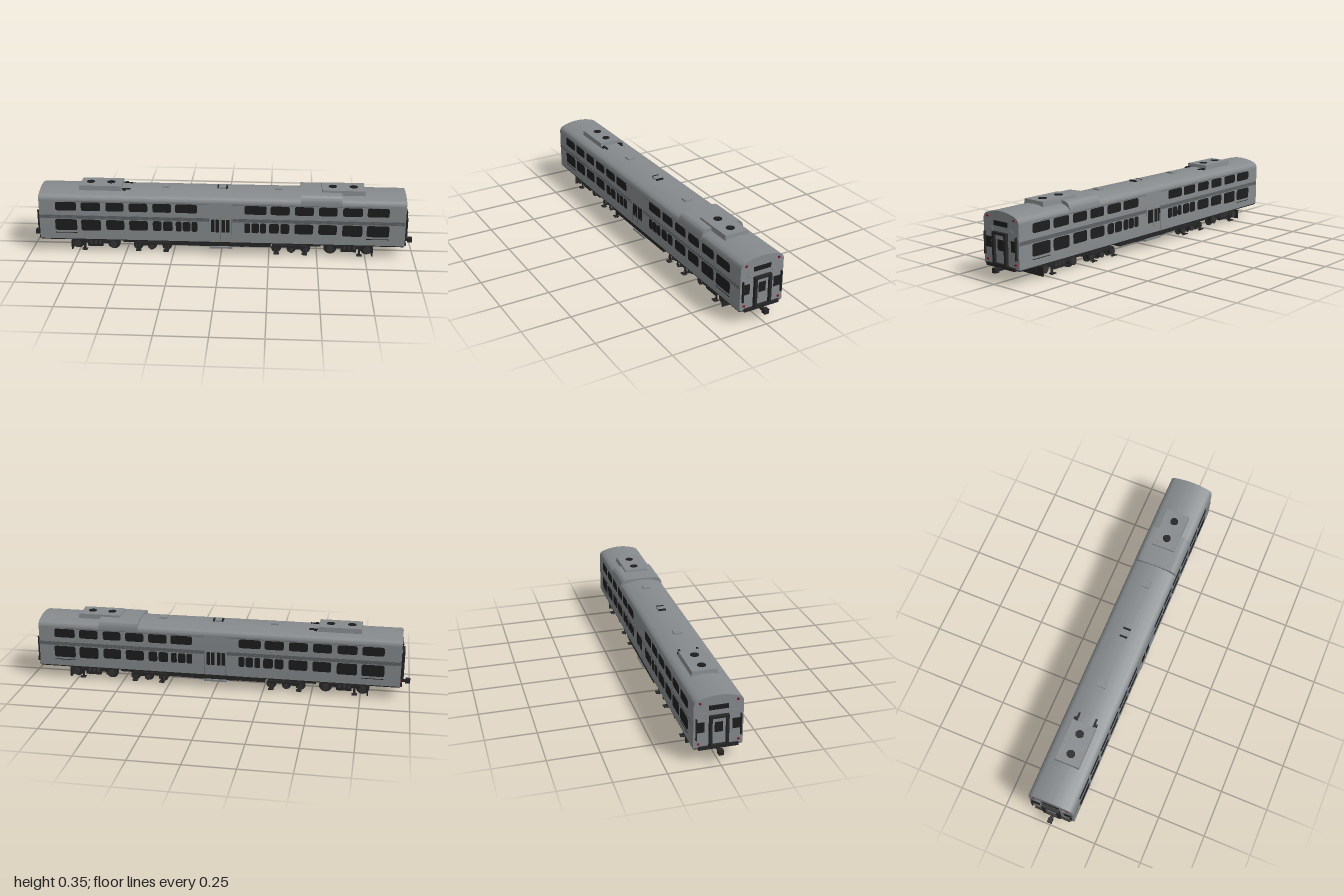
import * as THREE from 'three';
import { toCreasedNormals } from 'three/addons/utils/BufferGeometryUtils.js';

const mat = (name, color) => Object.assign(new THREE.MeshStandardMaterial({ color }), { name });
const M = {
  body: mat('bodyGrey', 0x868a8c),
  band: mat('bandGrey', 0x5e6264),
  glass: mat('windowBlack', 0x1d1d1e),
  under: mat('underframeBlack', 0x262626),
  wheel: mat('wheelDark', 0x343435),
  red: mat('lampRed', 0x85101a),
};
const END = 0.948, SIDE = 0.1175;

export function createModel() {
  const root = new THREE.Group();
  root.name = 'railCar';

  function add(name, geo, material, x = 0, y = 0, z = 0, parent = root) {
    const m = new THREE.Mesh(geo, material);
    m.name = name;
    m.position.set(x, y, z);
    parent.add(m);
    return m;
  }
  // Box given by its limits on each axis
  function box(name, material, x0, x1, y0, y1, z0, z1, parent = root) {
    return add(name, new THREE.BoxGeometry(x1 - x0, y1 - y0, z1 - z0), material,
      (x0 + x1) / 2, (y0 + y1) / 2, (z0 + z1) / 2, parent);
  }
  // Symmetric cross-section swept along x
  function sweep(name, shape, x0, x1, material) {
    const g = new THREE.ExtrudeGeometry(shape, { depth: x1 - x0, bevelEnabled: false, curveSegments: 10 });
    g.rotateY(Math.PI / 2);
    return add(name, toCreasedNormals(g, 0.5), material, x0);
  }
  // Box with its top pulled in
  function hatch(name, x0, x1, y0, y1, hz, inset) {
    const m = box(name, M.body, x0, x1, y0, y1, -hz, hz);
    const p = m.geometry.attributes.position;
    for (let i = 0; i < p.count; i++) {
      if (p.getY(i) > 0) {
        p.setX(i, p.getX(i) - Math.sign(p.getX(i)) * inset);
        p.setZ(i, p.getZ(i) - Math.sign(p.getZ(i)) * inset);
      }
    }
    m.geometry = toCreasedNormals(m.geometry, 0.3);
  }

  // Body shell with arched roof
  const shell = new THREE.Shape();
  shell.moveTo(-SIDE, 0.078);
  shell.lineTo(SIDE, 0.078);
  shell.lineTo(SIDE, 0.29);
  shell.bezierCurveTo(SIDE, 0.312, 0.102, 0.32, 0.08, 0.326);
  shell.bezierCurveTo(0.05, 0.335, 0.025, 0.338, 0, 0.338);
  shell.bezierCurveTo(-0.025, 0.338, -0.05, 0.335, -0.08, 0.326);
  shell.bezierCurveTo(-0.102, 0.32, -SIDE, 0.312, -SIDE, 0.29);
  sweep('bodyShell', shell, -END, END, M.body);
  box('underside', M.under, -0.945, 0.945, 0.072, 0.0785, -0.115, 0.115);

  // Raised roof fairing with fuller shoulders
  const fairing = new THREE.Shape();
  fairing.moveTo(-0.1182, 0.285);
  fairing.lineTo(0.1182, 0.285);
  fairing.bezierCurveTo(0.1182, 0.32, 0.112, 0.342, 0.08, 0.344);
  fairing.lineTo(0, 0.347);
  fairing.lineTo(-0.08, 0.344);
  fairing.bezierCurveTo(-0.112, 0.342, -0.1182, 0.32, -0.1182, 0.285);
  sweep('roofFairing', fairing, 0.41, 0.62, M.body);

  // Roof units, fans and hatches
  hatch('roofUnit', -0.745, -0.52, 0.32, 0.355, 0.066, 0.004);
  hatch('roofUnit', 0.515, 0.742, 0.32, 0.355, 0.066, 0.004);
  for (const x of [-0.69, -0.582, 0.575, 0.682])
    add('roofFan', new THREE.CylinderGeometry(0.022, 0.022, 0.004, 8), M.glass, x, 0.3555, 0);
  for (const x of [-0.295, 0, 0.295]) hatch('roofHatch', x - 0.02, x + 0.02, 0.33, 0.345, 0.022, 0.001);
  for (const x of [-0.024, 0.022]) box('hatchVent', M.glass, x, x + 0.008, 0.336, 0.3456, -0.02, 0.02);
  for (const s of [-1, 1]) {
    box('roofHorn', M.glass, -0.52, -0.475, 0.33, 0.339, s * 0.046 - 0.005, s * 0.046 + 0.005);
    box('roofHornMount', M.glass, -0.515, -0.5, 0.326, 0.339, s * 0.052 - 0.01, s * 0.052 + 0.01);
  }

  // Thin rounded window plate on both sides
  function pane(name, x0, x1, y0, y1, r = 0.012) {
    const s = new THREE.Shape();
    r = Math.min(r, (x1 - x0) * 0.3);
    s.moveTo(x0 + r, y0);
    s.lineTo(x1 - r, y0); s.quadraticCurveTo(x1, y0, x1, y0 + r);
    s.lineTo(x1, y1 - r); s.quadraticCurveTo(x1, y1, x1 - r, y1);
    s.lineTo(x0 + r, y1); s.quadraticCurveTo(x0, y1, x0, y1 - r);
    s.lineTo(x0, y0 + r); s.quadraticCurveTo(x0, y0, x0 + r, y0);
    const g = new THREE.ExtrudeGeometry(s, { depth: 0.003, bevelEnabled: false, curveSegments: 4 });
    add(name, g, M.glass, 0, 0, SIDE - 0.0015);
    add(name, g, M.glass, 0, 0, -SIDE - 0.0015);
  }
  const upper = [[0.122, 0.236], [0.256, 0.354], [0.38, 0.477], [0.503, 0.598], [0.626, 0.727], [0.751, 0.862]];
  const lower = [[0.122, 0.152], [0.158, 0.198], [0.204, 0.234], [0.25, 0.3], [0.308, 0.354],
    [0.38, 0.477], [0.503, 0.598], [0.626, 0.729], [0.751, 0.866]];
  for (const s of [-1, 1]) {
    const span = ([a, b]) => (s > 0 ? [a, b] : [-b, -a]);
    upper.forEach((w) => pane('upperWindow', ...span(w), 0.236, 0.283));
    lower.forEach((w) => pane('lowerWindow', ...span(w), w[1] > 0.7 ? 0.126 : 0.133, 0.187));
  }
  for (const x of [-0.05, -0.027, 0.004, 0.027]) pane('doorWindow', x, x + 0.018, 0.133, 0.203, 0.003);

  // Side trim: fluted band, drip rails, sill grilles
  for (const z of [-SIDE, SIDE]) {
    for (const [a, b] of [[-0.945, -0.06], [0.06, 0.945]]) {
      box('sideBand', M.band, a, b, 0.191, 0.21, z - 0.001, z + 0.001);
      for (let i = 0; i < 3; i++)
        box('bandRib', M.band, a, b, 0.192 + i * 0.007, 0.195 + i * 0.007, z - 0.0025, z + 0.0025);
    }
    for (const s of [-1, 1]) {
      box('dripRail', M.band, s * 0.435 - 0.375, s * 0.435 + 0.375, 0.286, 0.2885, z - 0.002, z + 0.002);
      box('sillGrille', M.glass, s * 0.808 - 0.057, s * 0.808 + 0.057, 0.111, 0.114, z - 0.001, z + 0.001);
      box('doorSeam', M.band, s * 0.056 - 0.001, s * 0.056 + 0.001, 0.08, 0.212, z - 0.0008, z + 0.0008);
    }
    box('doorSeam', M.band, -0.002, 0, 0.08, 0.212, z - 0.0008, z + 0.0008);
  }

  // One end with its running gear, facing +x; the second is turned round
  function endAndTruck() {
    const g = new THREE.Group();
    g.name = 'endAndRunningGear';
    const b = (name, m, ...lim) => box(name, m, ...lim, g);
    // Gangway frame and door
    b('gangwayTop', M.under, END - 0.01, 0.965, 0.228, 0.24, -0.046, 0.046);
    b('gangwaySill', M.under, END - 0.01, 0.965, 0.082, 0.093, -0.046, 0.046);
    b('endDoor', M.body, END - 0.005, 0.952, 0.093, 0.228, -0.036, 0.036);
    b('endDoorWindow', M.glass, 0.95, 0.954, 0.153, 0.204, -0.019, 0.019);
    b('destinationPanel', M.glass, END - 0.002, END + 0.003, 0.267, 0.29, -0.046, 0.046);
    b('endSill', M.under, END - 0.03, 0.958, 0.07, 0.085, -0.095, 0.095);
    for (const s of [-1, 1]) {
      const c = (name, m, x0, x1, y0, y1, z, w) => b(name, m, x0, x1, y0, y1, s * z - w, s * z + w);
      c('gangwayPost', M.under, END - 0.01, 0.965, 0.09, 0.23, 0.0395, 0.0065);
      c('endWindow', M.glass, END - 0.002, END + 0.002, 0.157, 0.209, 0.0855, 0.0195);
      c('handrail', M.under, END - 0.002, 0.96, 0.123, 0.231, 0.1055, 0.0022);
      c('endPlate', M.body, END - 0.002, END + 0.003, 0.244, 0.256, 0.067, 0.01);
      c('markerLamp', M.red, END - 0.002, END + 0.004, 0.301, 0.31, 0.089, 0.005);
      c('tailLamp', M.red, END - 0.002, END + 0.004, 0.095, 0.104, 0.095, 0.005);
      // Truck side frames, springs and rail shoes
      c('sideFrame', M.under, 0.555, 0.77, 0.044, 0.057, 0.078, 0.008);
      c('sideFrameDrop', M.under, 0.625, 0.705, 0.026, 0.046, 0.08, 0.01);
      c('innerFrame', M.under, 0.275, 0.445, 0.042, 0.052, 0.08, 0.008);
      for (const x of [0.29, 0.435, 0.72]) {
        c('railShoe', M.under, x - 0.014, x + 0.014, 0.011, 0.015, 0.098, 0.012);
        c('shoePost', M.under, x - 0.006, x + 0.006, 0.003, 0.045, 0.091, 0.002);
      }
      for (const x of [0.64, 0.665, 0.69])
        add('spring', new THREE.CylinderGeometry(0.008, 0.008, 0.035, 10), M.wheel, x, 0.058, s * 0.088, g);
    }
    // Wheels and axles
    for (const [x, r] of [[0.761, 0.034], [0.57, 0.034], [0.44, 0.026], [0.367, 0.024], [0.288, 0.026]]) {
      const y = r + 0.003;
      add('axle', new THREE.CylinderGeometry(0.007, 0.007, 0.15, 10).rotateX(Math.PI / 2), M.under, x, y, 0, g);
      for (const s of [-1, 1]) {
        add('wheel', new THREE.CylinderGeometry(r, r, 0.009, 20).rotateX(Math.PI / 2), M.under, x, y, s * 0.057, g);
        add('axleBox', new THREE.CylinderGeometry(r * 0.55, r * 0.55, 0.026, 10).rotateX(Math.PI / 2),
          M.wheel, x, y, s * 0.08, g);
        b('boxCasing', M.under, x - r * 0.75, x + r * 0.75, y - r * 0.3, y + r * 0.6, s * 0.076 - 0.01, s * 0.076 + 0.01);
      }
    }
    b('truckBolster', M.under, 0.63, 0.70, 0.035, 0.072, -0.085, 0.085);
    b('truckMotor', M.under, 0.59, 0.74, 0.025, 0.06, -0.045, 0.045);
    b('innerBolster', M.under, 0.385, 0.42, 0.03, 0.072, -0.08, 0.08);
    b('equipmentBox', M.under, 0.30, 0.52, 0.045, 0.072, -0.07, 0.07);
    b('railGuard', M.under, 0.782, 0.79, 0.012, 0.06, -0.104, 0.104);
    b('guardBracket', M.under, 0.73, 0.785, 0.045, 0.072, -0.06, 0.06);
    // Coupler
    b('drawbar', M.under, 0.92, 0.985, 0.061, 0.073, -0.008, 0.008);
    b('couplerHead', M.under, 0.975, 1.0, 0.056, 0.079, -0.012, 0.012);
    root.add(g);
    return g;
  }
  endAndTruck();
  endAndTruck().rotation.y = Math.PI;

  // Equipment under the middle
  box('underfloorBay', M.under, -0.26, 0.26, 0.053, 0.073, -0.113, 0.113);
  box('underfloorCase', M.under, -0.12, 0.12, 0.046, 0.06, -0.1, 0.1);
  for (const s of [-1, 1])
    box('doorStep', M.body, -0.06, 0.06, 0.04, 0.05, s * 0.083 - 0.033, s * 0.083 + 0.033);
  box('floorPanel', M.band, -0.25, -0.15, 0.05, 0.054, -0.1, -0.02);
  return root;
}
